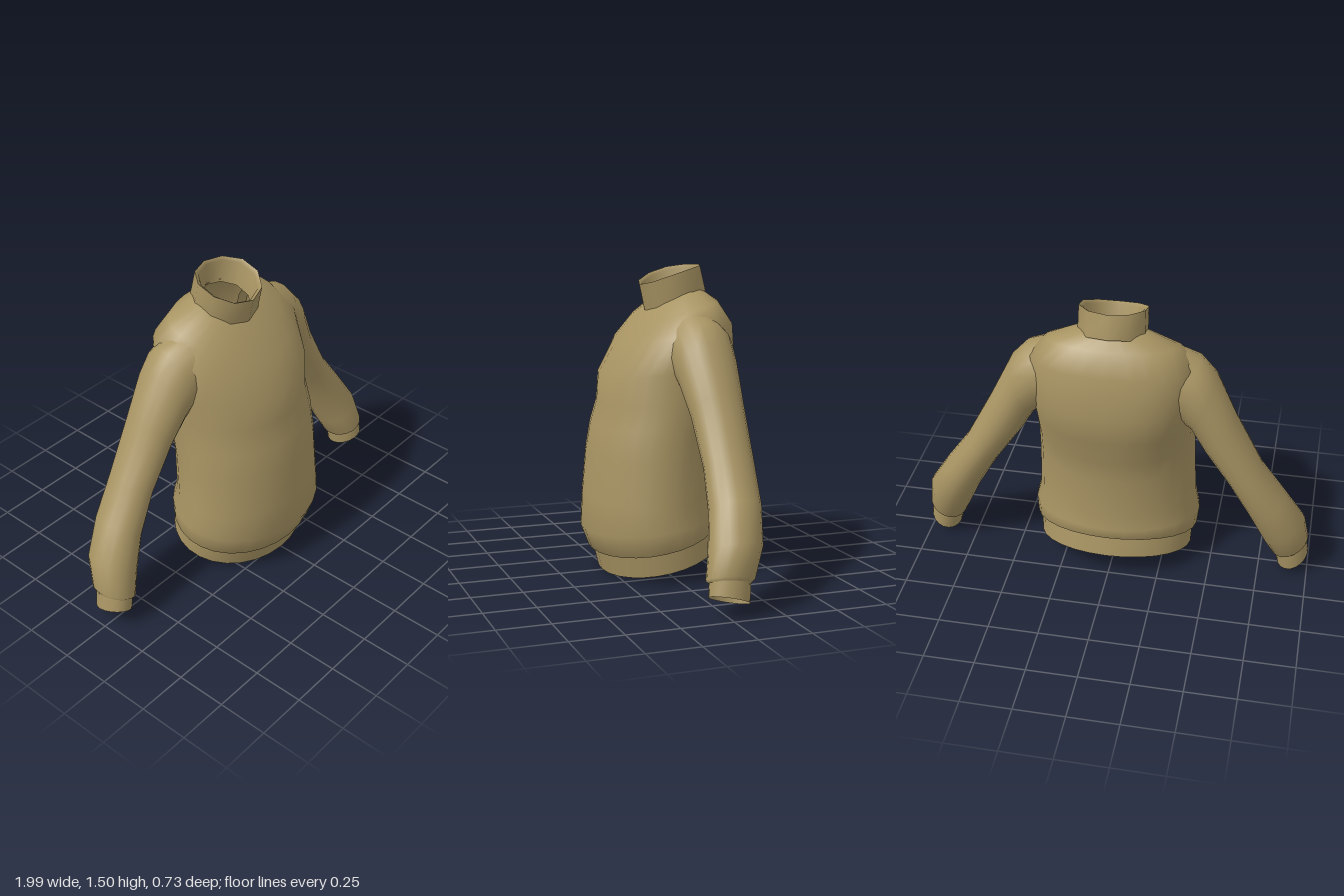
import * as THREE from 'three';

const wool = new THREE.MeshStandardMaterial({ color: 0xa89463, roughness: 0.9, side: THREE.DoubleSide });

// Skin a stack of closed rings (bottom to top) into a smooth open shell
function loft(name, rings) {
  const n = rings[0].length;
  const index = [];
  for (let i = 0; i < rings.length - 1; i++) {
    for (let j = 0; j < n; j++) {
      const k = (j + 1) % n;
      const a = i * n + j, b = i * n + k, c = a + n, d = b + n;
      index.push(a, b, d, a, d, c);
    }
  }
  const geometry = new THREE.BufferGeometry().setFromPoints(rings.flat());
  geometry.setIndex(index);
  geometry.computeVertexNormals();
  const mesh = new THREE.Mesh(geometry, wool);
  mesh.name = name;
  return mesh;
}

// Horizontal ring given by its front, back and side points; backPower > 2 flattens the back
function bodyRing([zFront, yFront, zBack, yBack, halfWidth, ySide, backPower = 2], sides) {
  const zMid = (zFront + zBack) / 2, zHalf = (zFront - zBack) / 2;
  const tilt = (yFront - yBack) / 2, bow = (yFront + yBack) / 2 - ySide;
  return Array.from({ length: sides }, (_, j) => {
    const a = (j / sides) * Math.PI * 2;
    const s = Math.sin(a), c = Math.cos(a);
    const e = 2 / (c < 0 ? backPower : 2);
    const x = Math.sign(s) * Math.abs(s) ** e;
    const t = Math.sign(c) * Math.abs(c) ** e;
    return new THREE.Vector3(halfWidth * x, ySide + tilt * t + bow * t * t, zMid + zHalf * t);
  });
}

// Ring across an arm, given by its outer and inner points, depth centre and radius
function armRing([xOut, yOut, xIn, yIn, z, radius, tilt = 0], side) {
  const sides = 18;
  return Array.from({ length: sides }, (_, j) => {
    const a = side * (j / sides) * Math.PI * 2;
    const s = Math.sin(a), c = Math.cos(a);
    const x = (xOut + xIn) / 2 + ((xOut - xIn) / 2) * s;
    const y = (yOut + yIn) / 2 + ((yOut - yIn) / 2) * s + tilt * c;
    return new THREE.Vector3(side * x, y, z + radius * c);
  });
}

// Rows: zFront, yFront, zBack, yBack, halfWidth, ySide, backPower
const hemRows = [
  [0.28, 0.0, -0.295, 0.15, 0.39, 0.073],
  [0.31, 0.125, -0.272, 0.265, 0.395, 0.18],
];
const bodyRows = [
  [0.305, 0.12, -0.27, 0.26, 0.39, 0.175],
  [0.33, 0.11, -0.283, 0.255, 0.415, 0.175],
  [0.368, 0.21, -0.287, 0.31, 0.425, 0.27],
  [0.362, 0.38, -0.265, 0.38, 0.402, 0.37],
  [0.342, 0.6, -0.275, 0.6, 0.394, 0.6],
  [0.318, 0.73, -0.29, 0.72, 0.39, 0.74, 2.1],
  [0.285, 0.84, -0.338, 0.87, 0.388, 0.87, 2.3],
  [0.275, 0.97, -0.365, 1.02, 0.4, 1.02, 2.5],
  [0.185, 1.12, -0.337, 1.23, 0.405, 1.21, 2.5],
  [0.105, 1.225, -0.28, 1.34, 0.32, 1.3, 2.3],
  [0.055, 1.28, -0.22, 1.39, 0.165, 1.365],
  [0.035, 1.3, -0.205, 1.39, 0.13, 1.365],
];
const collarOuterRows = [
  [0.055, 1.285, -0.255, 1.39, 0.167, 1.335],
  [0.082, 1.41, -0.225, 1.505, 0.165, 1.475],
];
const collarInnerRows = [
  [0.082, 1.41, -0.225, 1.505, 0.165, 1.475],
  [0.06, 1.4, -0.21, 1.49, 0.145, 1.462],
  [0.032, 1.29, -0.21, 1.38, 0.125, 1.345],
];

// Rows: xOut, yOut, xIn, yIn, z, radius, tilt
const cuffRows = [
  [0.998, 0.102, 0.842, 0.045, -0.01, 0.095, 0.026],
  [0.983, 0.18, 0.828, 0.125, -0.018, 0.095, 0.015],
];
const sleeveRows = [
  [0.975, 0.165, 0.835, 0.12, -0.018, 0.092, 0.012],
  [0.992, 0.2, 0.812, 0.12, -0.022, 0.113, 0.01],
  [0.967, 0.34, 0.765, 0.22, -0.06, 0.127],
  [0.865, 0.505, 0.69, 0.385, -0.095, 0.124],
  [0.742, 0.68, 0.583, 0.575, -0.112, 0.12],
  [0.6, 0.95, 0.452, 0.765, -0.112, 0.128],
  [0.495, 1.165, 0.385, 0.875, -0.1, 0.145],
  [0.415, 1.252, 0.33, 0.92, -0.1, 0.155],
  [0.28, 1.3, 0.25, 0.98, -0.1, 0.15],
];

export function createModel() {
  const sweater = new THREE.Group();
  sweater.name = 'sweater';
  const shell = (name, rows, sides) => loft(name, rows.map((row) => bodyRing(row, sides)));

  sweater.add(
    shell('body', bodyRows, 28),
    shell('hem', hemRows, 28),
    shell('collarOuter', collarOuterRows, 10),
    shell('collarInner', collarInnerRows, 10),
  );

  // Sleeves and cuffs, mirrored
  for (const [label, side] of [['left', 1], ['right', -1]]) {
    sweater.add(
      loft(`${label}Sleeve`, sleeveRows.map((row) => armRing(row, side))),
      loft(`${label}Cuff`, cuffRows.map((row) => armRing(row, side))),
    );
  }
  return sweater;
}
